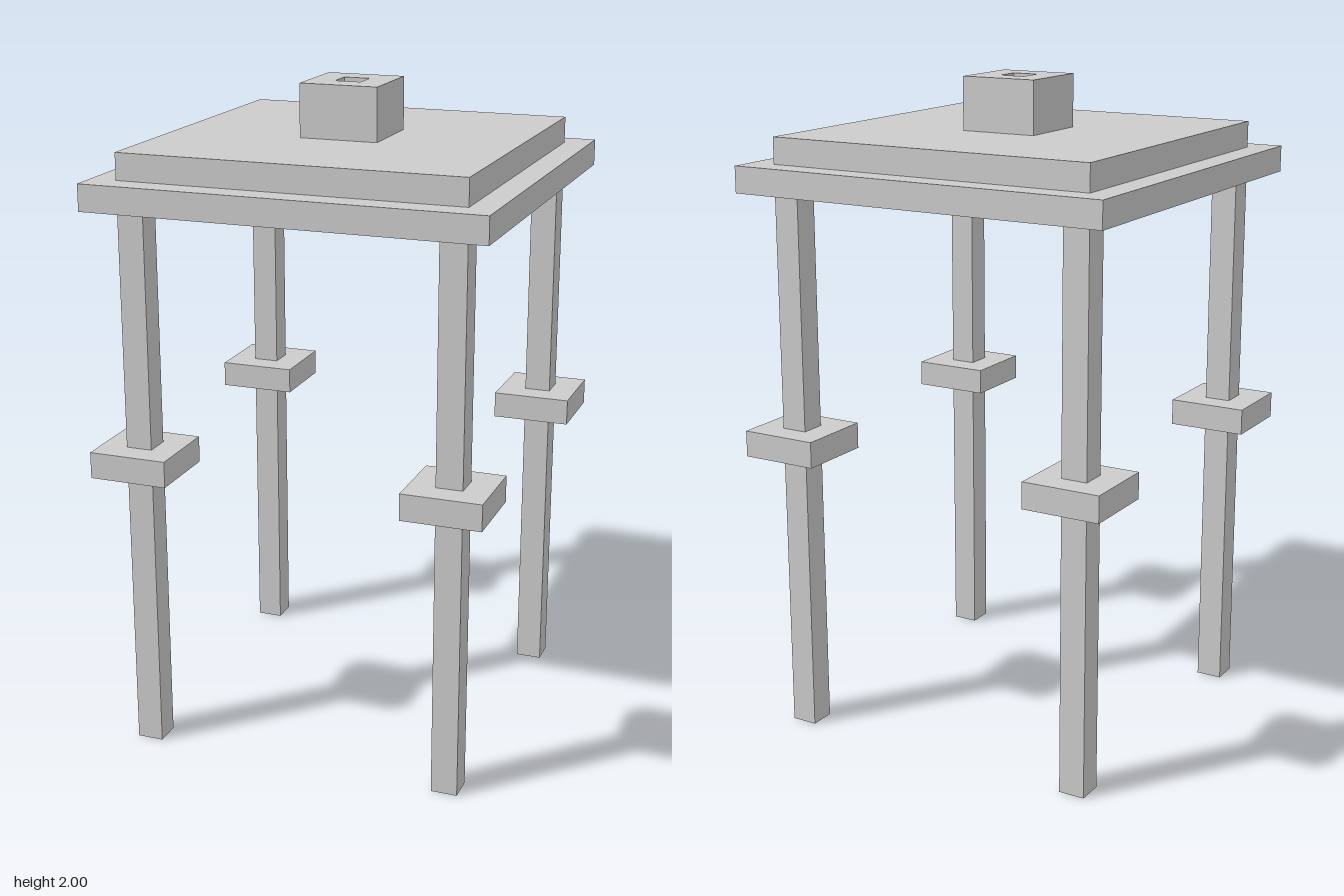
import * as THREE from 'three';

const material = new THREE.MeshStandardMaterial({ color: 0xcccccc, flatShading: true });

// Square block of a given width, spanning y0 to y1
function block(name, width, y0, y1, x = 0, z = 0) {
  const mesh = new THREE.Mesh(new THREE.BoxGeometry(width, y1 - y0, width), material);
  mesh.name = name;
  mesh.position.set(x, (y0 + y1) / 2, z);
  return mesh;
}

function squarePath(PathType, half) {
  const path = new PathType();
  path.moveTo(-half, -half);
  path.lineTo(half, -half);
  path.lineTo(half, half);
  path.lineTo(-half, half);
  path.closePath();
  return path;
}

export function createModel() {
  const model = new THREE.Group();
  model.name = 'pavilion';

  // Four posts, each with a square collar
  for (const sx of [-1, 1]) {
    for (const sz of [-1, 1]) {
      const post = new THREE.Group();
      post.name = `${sz > 0 ? 'front' : 'back'}${sx > 0 ? 'Left' : 'Right'}Post`;
      post.add(block('postShaft', 0.08, 0, 1.68), block('postCollar', 0.24, 0.88, 0.96));
      post.position.set(sx * 0.48, 0, sz * 0.48);
      model.add(post);
    }
  }

  // Stepped roof
  model.add(block('lowerRoofSlab', 1.2, 1.68, 1.76));
  model.add(block('upperRoofSlab', 1.04, 1.76, 1.84));

  // Hollow square chimney on the roof
  const outline = squarePath(THREE.Shape, 0.12);
  outline.holes.push(squarePath(THREE.Path, 0.04));
  const geometry = new THREE.ExtrudeGeometry(outline, { depth: 0.16, bevelEnabled: false });
  geometry.rotateX(-Math.PI / 2);
  const chimney = new THREE.Mesh(geometry, material);
  chimney.name = 'chimney';
  chimney.position.y = 1.84;
  model.add(chimney);

  return model;
}
